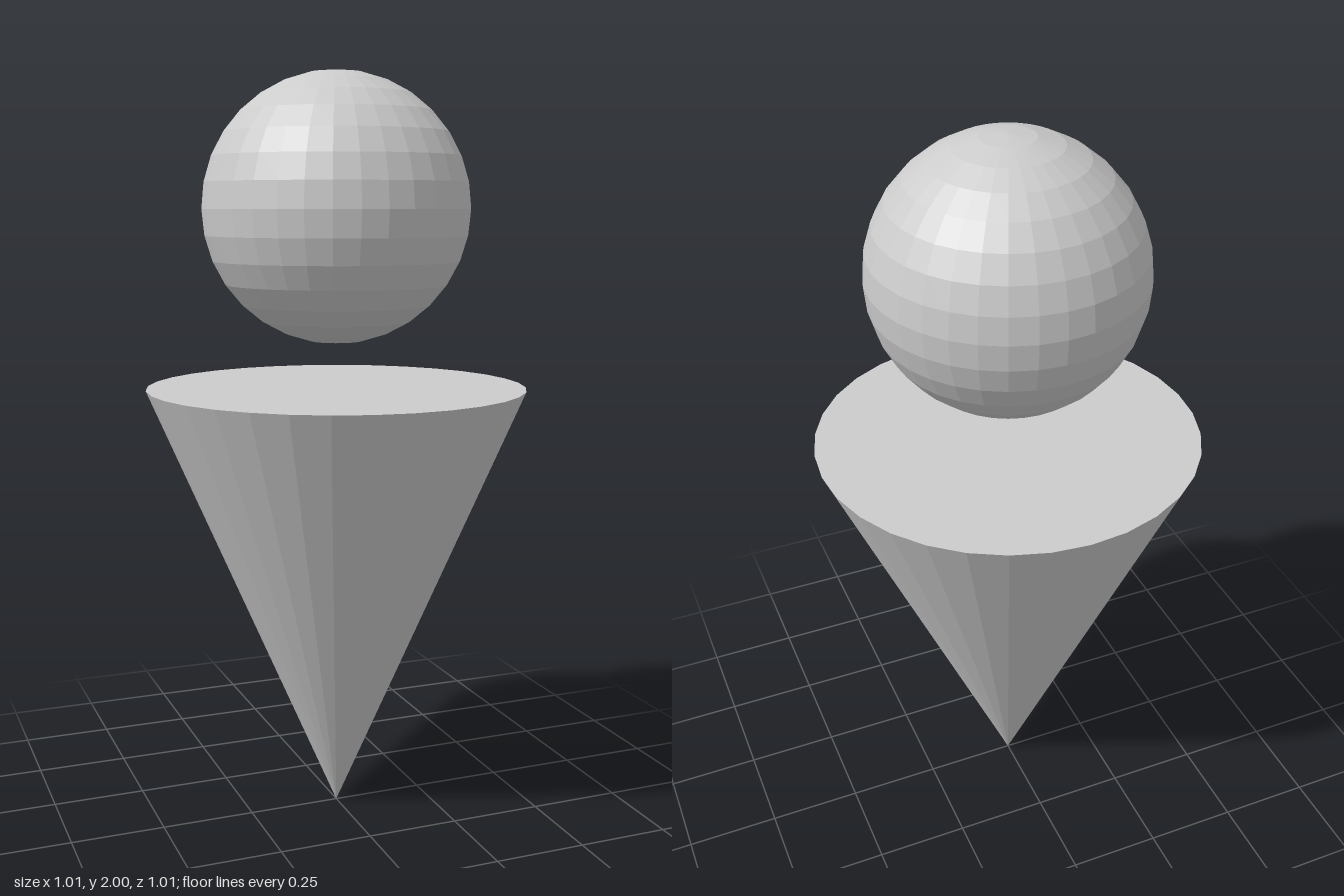
import * as THREE from 'three';

const SIDES = 32;
const CONE_RADIUS = 0.507;
const CONE_HEIGHT = 1.177;
const BALL_RADIUS = 0.353;

export function createModel() {
  const model = new THREE.Group();
  model.name = 'ballOverCone';
  const material = new THREE.MeshStandardMaterial({ color: 0xcccccc, flatShading: true });

  // Closed cone standing on its tip
  const cone = new THREE.Mesh(
    new THREE.ConeGeometry(CONE_RADIUS, CONE_HEIGHT, SIDES).rotateX(Math.PI),
    material
  );
  cone.name = 'cone';
  cone.position.y = CONE_HEIGHT / 2;

  // Faceted ball floating above the cone
  const ball = new THREE.Mesh(
    new THREE.SphereGeometry(BALL_RADIUS, SIDES, SIDES / 2),
    material
  );
  ball.name = 'ball';
  ball.position.y = 2 - BALL_RADIUS;

  model.add(cone, ball);
  return model;
}
